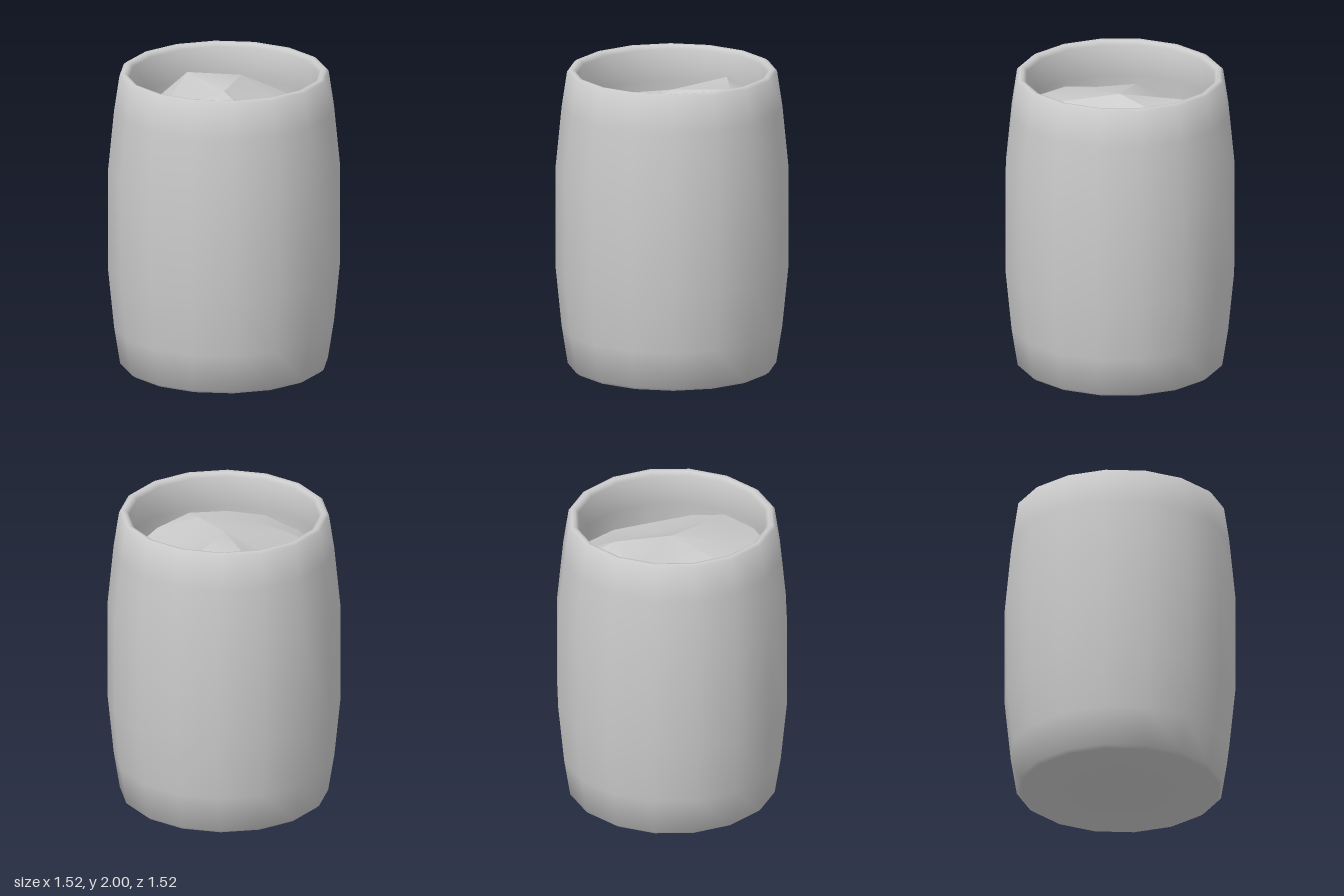
import * as THREE from 'three';
import { toCreasedNormals } from 'three/addons/utils/BufferGeometryUtils.js';

const SIDES = 16;

// Outer wall, rounded rim, then the inside wall down to the hidden floor
function makeBarrel() {
  const profile = [
    [0, 0], [0.655, 0], [0.68, 0.02], [0.72, 0.27], [0.76, 0.67], [0.76, 1.34],
    [0.72, 1.75], [0.685, 1.985], [0.665, 2], [0.64, 1.995], [0.62, 1.97],
    [0.645, 1.75], [0.68, 1.34], [0.68, 0.67], [0.62, 0.1], [0, 0.1],
  ].map(([r, y]) => new THREE.Vector2(r, y));
  return toCreasedNormals(new THREE.LatheGeometry(profile, SIDES), 0.9);
}

// Faceted heap: a peak in the middle, eight broken ridge corners, and an outer ring set into the wall
function makeContents() {
  // [ridge radius, ridge height, height at the wall], every 45 degrees from 22.5
  const corners = [
    [0.38, 1.86, 1.74], [0.516, 1.85, 1.71], [0.41, 1.71, 1.5], [0.515, 1.74, 1.62],
    [0.45, 1.76, 1.7], [0.47, 1.76, 1.71], [0.4, 1.67, 1.6], [0.49, 1.67, 1.61],
  ];
  const n = corners.length;
  const wall = 0.68;
  const at = (angle, r, y) => [r * Math.cos(angle), y, -r * Math.sin(angle)];
  const positions = [0, 1.86, 0];
  const index = [];
  corners.forEach(([r, y, edge], k) => {
    const angle = Math.PI / 8 + (k * Math.PI) / 4;
    const next = corners[(k + 1) % n];
    positions.push(...at(angle, r, y));
    positions.push(...at(angle, wall, edge));
    positions.push(...at(angle + Math.PI / 8, wall, (edge + next[2]) / 2));
    const a = 1 + 3 * k;
    const b = 1 + 3 * ((k + 1) % n);
    index.push(0, a, b);
    index.push(a, a + 1, a + 2, a, a + 2, b, b, a + 2, b + 1);
  });
  const geometry = new THREE.BufferGeometry();
  geometry.setAttribute('position', new THREE.Float32BufferAttribute(positions, 3));
  geometry.setIndex(index);
  return toCreasedNormals(geometry, 0.4);
}

export function createModel() {
  const group = new THREE.Group();
  const add = (name, geometry, side) => {
    const mesh = new THREE.Mesh(geometry, new THREE.MeshStandardMaterial({ color: 0xcccccc, side }));
    mesh.name = name;
    group.add(mesh);
  };
  add('barrel', makeBarrel(), THREE.FrontSide);
  add('contents', makeContents(), THREE.DoubleSide);
  return group;
}
